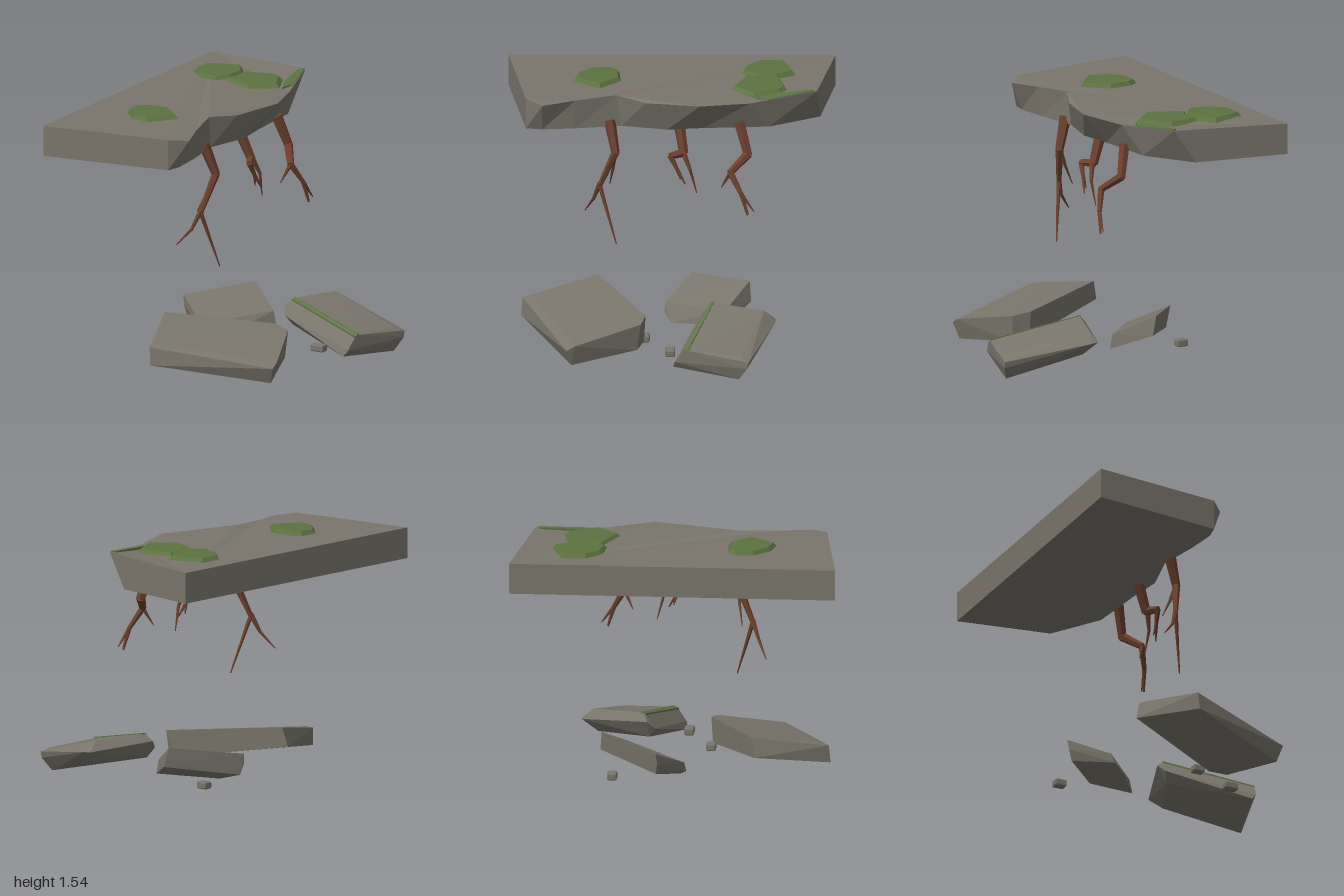
import * as THREE from 'three';
import { ConvexGeometry } from 'three/addons/geometries/ConvexGeometry.js';
import { RoundedBoxGeometry } from 'three/addons/geometries/RoundedBoxGeometry.js';

const material = (name, color) => {
  const m = new THREE.MeshStandardMaterial({ color });
  m.name = name;
  return m;
};

// Faceted solid between two loops of equal length, [x, y, z], counter-clockwise from above
function loft(top, bottom) {
  const pos = [];
  const tri = (a, b, c) => pos.push(...a, ...b, ...c);
  const cap = (loop) => THREE.ShapeUtils.triangulateShape(loop.map((p) => new THREE.Vector2(p[0], -p[2])), []);
  for (const [a, b, c] of cap(top)) tri(top[a], top[b], top[c]);
  for (const [a, b, c] of cap(bottom)) tri(bottom[c], bottom[b], bottom[a]);
  top.forEach((t, i) => {
    const j = (i + 1) % top.length;
    tri(bottom[i], bottom[j], top[j]);
    tri(bottom[i], top[j], t);
  });
  const g = new THREE.BufferGeometry();
  g.setAttribute('position', new THREE.Float32BufferAttribute(pos, 3));
  g.computeVertexNormals();
  return g;
}

// Low mossy cushion over an outline of [x, z] points
function mossPad(outline, y0, y1) {
  const n = outline.length;
  const cx = outline.reduce((s, p) => s + p[0], 0) / n;
  const cz = outline.reduce((s, p) => s + p[1], 0) / n;
  const ring = (s, y) => outline.map(([x, z]) => [cx + (x - cx) * s, y, cz + (z - cz) * s]);
  return loft(ring(0.86, y1), ring(1, y0));
}

export function createModel() {
  const model = new THREE.Group();
  const stone = material('stone', 0x79756b);
  const moss = material('moss', 0x5c7340);
  const bark = material('bark', 0x6b402e);

  const add = (name, geometry, mat, parent = model) => {
    const mesh = new THREE.Mesh(geometry, mat);
    mesh.name = name;
    parent.add(mesh);
    return mesh;
  };

  // Overhanging ledge with a broken, undercut edge
  const ledgeTop = [
    [-0.84, 1.52, -1], [-0.84, 1.52, 0.99], [-0.02, 1.52, 0.88], [0.07, 1.505, 0.78], [0, 1.515, 0.58],
    [-0.06, 1.53, 0.33], [0.03, 1.51, 0.15], [0.12, 1.52, -0.18], [0.02, 1.505, -0.48], [-0.11, 1.54, -0.89],
  ];
  const ledgeBottom = [
    [-0.84, 1.33, -1], [-0.84, 1.33, 0.99], [-0.02, 1.33, 0.88], [0, 1.33, 0.78], [-0.02, 1.33, 0.58],
    [-0.07, 1.33, 0.3], [0, 1.33, 0.02], [-0.03, 1.33, -0.2], [-0.06, 1.33, -0.6], [-0.25, 1.33, -0.91],
  ];
  add('ledge', loft(ledgeTop, ledgeBottom), stone);

  // Moss on the ledge
  const patches = [
    [[-0.6, -0.73], [-0.7, -0.69], [-0.7, -0.54], [-0.6, -0.45], [-0.47, -0.42], [-0.41, -0.5], [-0.4, -0.65], [-0.48, -0.76]],
    [[-0.41, -0.66], [-0.41, -0.52], [-0.44, -0.46], [-0.2, -0.36], [-0.06, -0.5], [-0.14, -0.67], [-0.2, -0.71]],
    [[-0.5, 0.31], [-0.56, 0.35], [-0.56, 0.47], [-0.46, 0.57], [-0.34, 0.6], [-0.21, 0.43], [-0.35, 0.3]],
  ];
  patches.forEach((p, i) => add('mossPatch' + (i + 1), mossPad(p, 1.515, i === 1 ? 1.54 : 1.545), moss));
  const edge = [[-0.14, 1.543, -0.86], [-0.1, 1.527, -0.62], [-0.05, 1.518, -0.52], [-0.025, 1.518, -0.6], [-0.11, 1.545, -0.875]];
  add('mossEdge', loft(edge, edge.map(([x, y, z]) => [x, y - 0.02, z])), moss);

  // Roots: tapered segments along a path of [x, y, z] points
  const up = new THREE.Vector3(0, 1, 0);
  const rootPath = (name, points, r0, r1, parent) => {
    const pts = points.map((p) => new THREE.Vector3(...p));
    const n = pts.length - 1;
    const radius = (i) => THREE.MathUtils.lerp(r0, r1, i / n);
    for (let i = 0; i < n; i++) {
      const dir = pts[i + 1].clone().sub(pts[i]);
      const g = new THREE.CylinderGeometry(radius(i + 1), radius(i), dir.length() + radius(i + 1) * 0.5, 6).toNonIndexed();
      g.computeVertexNormals();
      const seg = add(name, g, bark, parent);
      seg.position.copy(pts[i]).addScaledVector(dir, 0.5);
      seg.quaternion.setFromUnitVectors(up, dir.normalize());
    }
  };
  const roots = {
    frontRoot: [
      [[[-0.07, 1.36, 0.37], [-0.01, 1.18, 0.335], [-0.06, 0.95, 0.43], [0.015, 0.6, 0.33]], 0.036, 0.004],
      [[[-0.06, 0.96, 0.43], [-0.1, 0.85, 0.47], [-0.18, 0.75, 0.52]], 0.017, 0.003],
      [[[-0.02, 1.16, 0.34], [-0.06, 1.06, 0.35], [-0.12, 0.94, 0.37]], 0.016, 0.003],
    ],
    middleRoot: [
      [[[-0.08, 1.36, -0.05], [-0.01, 1.18, -0.08], [0.03, 1.17, 0], [0.04, 1.09, -0.04], [0.06, 1, -0.09]], 0.036, 0.004],
      [[[0, 1.18, -0.08], [0.03, 1.08, -0.12], [0.02, 0.93, -0.16]], 0.018, 0.003],
      [[[0.04, 1.09, -0.04], [0.03, 1.02, -0.06]], 0.012, 0.003],
    ],
    backRoot: [
      [[[-0.03, 1.36, -0.42], [0.02, 1.18, -0.47], [0.1, 1.09, -0.365], [0.15, 0.97, -0.43], [0.165, 0.84, -0.47]], 0.036, 0.007],
      [[[0.15, 0.97, -0.43], [0.17, 0.86, -0.51]], 0.014, 0.003],
      [[[0.1, 1.09, -0.365], [0.06, 0.98, -0.31]], 0.014, 0.003],
    ],
  };
  for (const [name, branches] of Object.entries(roots)) {
    const group = new THREE.Group();
    group.name = name;
    model.add(group);
    branches.forEach(([p, a, b], i) => rootPath(i ? 'rootBranch' : 'rootStem', p, a, b, group));
  }

  // Fallen slabs, each a convex hull of its corners
  const rocks = {
    frontRock: [
      [-0.31, 0.29, 0.44], [0.3, 0.235, 0.15], [0.41, 0.215, 0.18], [0.57, 0.13, 0.58], [-0.13, 0.215, 0.85],
      [-0.34, 0.17, 0.46], [0.3, 0.07, 0.16], [0.4, 0.05, 0.2], [0.57, 0.1, 0.63], [0.54, 0, 0.6],
      [-0.14, 0.2, 0.9], [-0.13, 0.09, 0.91],
    ],
    rightRock: [
      [0.19, 0.285, -0.25], [0.73, 0.165, -0.09], [0.3, 0.27, -0.57], [0.8, 0.145, -0.43],
      [0.28, 0.21, -0.64], [0.33, 0.205, -0.64], [0.84, 0.12, -0.48], [0.84, 0.08, -0.47],
      [0.14, 0.24, -0.23], [0.17, 0.19, -0.18], [0.71, 0.08, -0.03], [0.68, 0.04, -0.02],
      [0.8, 0, -0.42], [0.2, 0.13, -0.22], [0.33, 0.12, -0.54],
    ],
    backRock: [
      [-0.52, 0.235, -0.13], [-0.22, 0.28, -0.48], [0, 0.16, -0.33], [-0.3, 0.12, 0.03],
      [-0.51, 0.17, -0.12], [-0.49, 0.1, -0.13], [-0.2, 0.02, 0], [0.02, 0.07, -0.33],
      [-0.19, 0.16, -0.49], [-0.28, 0.06, 0.04],
    ],
  };
  for (const [name, corners] of Object.entries(rocks)) {
    add(name, new ConvexGeometry(corners.map((p) => new THREE.Vector3(...p))), stone);
  }

  // Moss along the crest of the right rock
  const crest = [[0.19, 0.29, -0.268], [0.185, 0.282, -0.24], [0.725, 0.16, -0.08], [0.735, 0.172, -0.115]];
  add('rockMoss', loft(crest, crest.map(([x, y, z]) => [x, y - 0.015, z])), moss);

  // Loose chips
  const chips = [[0.52, 0.08, 0, 0.09], [0.225, 0.07, 0.155, 0.075], [-0.44, 0.07, -0.4, 0.075]];
  for (const [x, y, z, w] of chips) {
    add('stoneChip', new RoundedBoxGeometry(w, 0.045, 0.06, 1, 0.01), stone).position.set(x, y, z);
  }
  return model;
}
